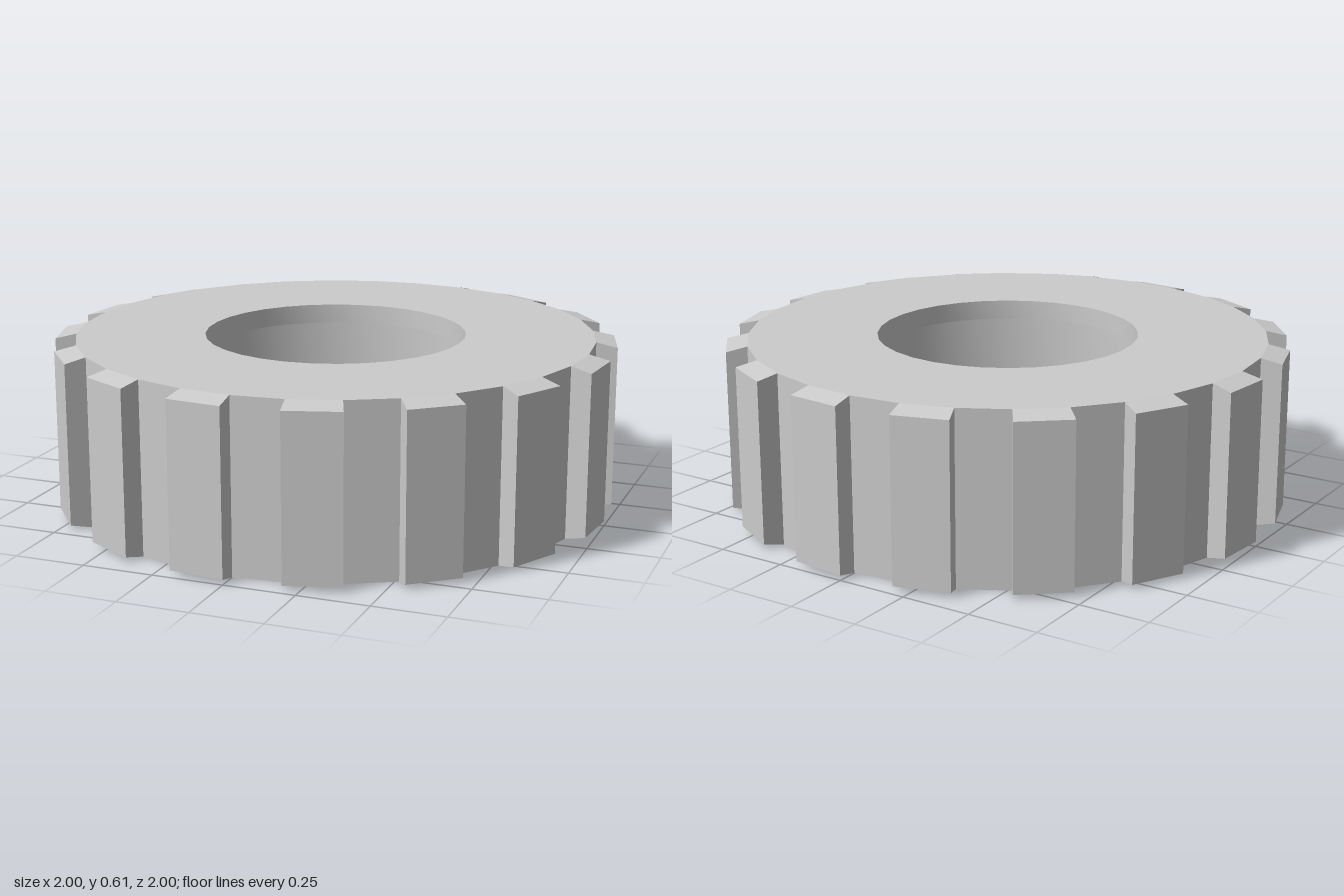
import * as THREE from 'three';
import { toCreasedNormals } from 'three/addons/utils/BufferGeometryUtils.js';

const SIDES = 32;
const STEP = (Math.PI * 2) / SIDES;
const HEIGHT = 0.607;
const BODY_R = 0.925; // floor of the tread grooves
const TREAD_R = 1;
const HOLE_R = 0.465;
const CAVITY_R = 0.61; // hollow behind the two bead lips
const LIP = 0.07;
const BEVEL = 0.017;

// Revolved surface from [radius, height] pairs
function lathe(points) {
  return new THREE.LatheGeometry(points.map(([r, y]) => new THREE.Vector2(r, y)), SIDES);
}

// Tread block: a box bent into a ring sector, bevelled toward its outer face
function treadBlockGeometry() {
  const geo = new THREE.BoxGeometry(1, 1, 1);
  const p = geo.attributes.position;
  for (let i = 0; i < p.count; i++) {
    const outer = p.getZ(i) > 0;
    const top = p.getY(i) > 0;
    const angle = p.getX(i) > 0 ? 0 : -STEP;
    const r = outer ? TREAD_R : BODY_R;
    const inset = outer ? BEVEL : 0;
    p.setXYZ(i, r * Math.sin(angle), top ? HEIGHT - inset : inset, r * Math.cos(angle));
  }
  geo.computeVertexNormals();
  return geo;
}

export function createModel() {
  const model = new THREE.Group();
  model.name = 'tyre';
  const smooth = new THREE.MeshStandardMaterial({ color: 0xcccccc });
  const faceted = new THREE.MeshStandardMaterial({ color: 0xcccccc, flatShading: true });

  // Faceted wall at the bottom of the tread grooves
  const wall = new THREE.Mesh(lathe([[BODY_R, 0], [BODY_R, HEIGHT]]), faceted);
  wall.name = 'grooveWall';
  model.add(wall);

  // Sidewalls, bead lips and the hollow inside
  const casingGeo = lathe([
    [BODY_R, HEIGHT], [HOLE_R, HEIGHT], [HOLE_R, HEIGHT - LIP],
    [CAVITY_R, HEIGHT - LIP], [CAVITY_R, LIP],
    [HOLE_R, LIP], [HOLE_R, 0], [BODY_R, 0],
  ]);
  const casing = new THREE.Mesh(toCreasedNormals(casingGeo, 0.6), smooth);
  casing.name = 'casing';
  model.add(casing);

  // Sixteen tread blocks, one on every other side
  const tread = new THREE.Group();
  tread.name = 'tread';
  const blockGeo = treadBlockGeometry();
  for (let k = 0; k < SIDES; k += 2) {
    const block = new THREE.Mesh(blockGeo, faceted);
    block.name = 'treadBlock';
    block.rotation.y = k * STEP;
    tread.add(block);
  }
  model.add(tread);

  return model;
}
